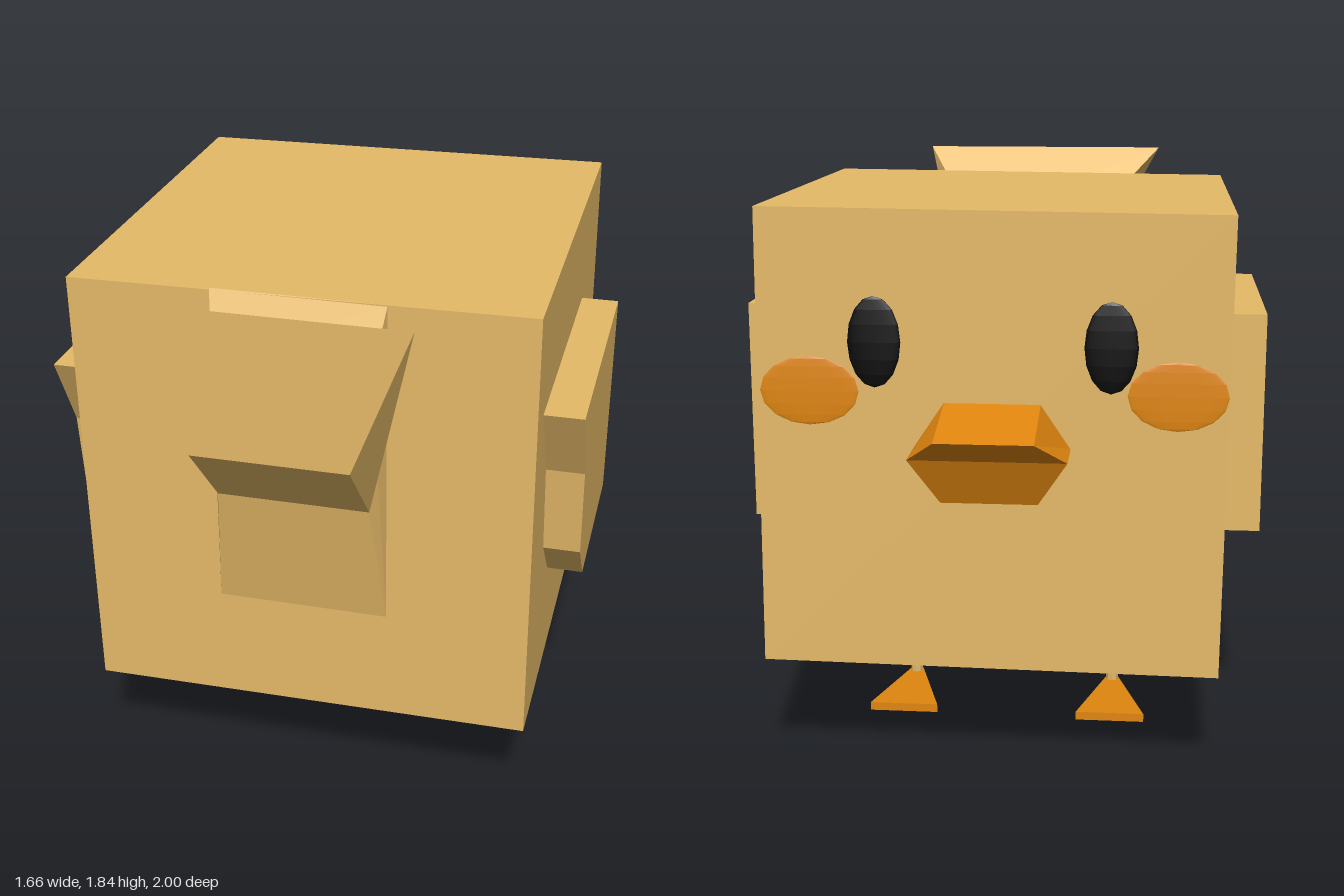
import * as THREE from 'three';

const material = (color) => new THREE.MeshStandardMaterial({ color, flatShading: true });
const yellow = material(0xe6ba68);
const orange = material(0xe0860f);
const black = material(0x0a0a0a);

function part(name, geometry, mat, x = 0, y = 0, z = 0) {
  const mesh = new THREE.Mesh(geometry, mat);
  mesh.name = name;
  mesh.position.set(x, y, z);
  return mesh;
}

// Joins rings of points (counter-clockwise seen from the far end) and caps the last one
function loft(rings) {
  const pos = [];
  const quad = (a, b, c, d) => pos.push(...a, ...b, ...c, ...a, ...c, ...d);
  const n = rings[0].length;
  for (let i = 0; i < rings.length - 1; i++) {
    for (let j = 0; j < n; j++) {
      const k = (j + 1) % n;
      quad(rings[i][j], rings[i][k], rings[i + 1][k], rings[i + 1][j]);
    }
  }
  const end = rings[rings.length - 1];
  for (let k = 0; k < n / 2 - 1; k++) {
    quad(end[(n - k) % n], end[k + 1], end[k + 2], end[n - 1 - k]);
  }
  const geo = new THREE.BufferGeometry();
  geo.setAttribute('position', new THREE.Float32BufferAttribute(pos, 3));
  geo.computeVertexNormals();
  return geo;
}

function extrude(points, depth) {
  const shape = new THREE.Shape(points.map(([x, y]) => new THREE.Vector2(x, y)));
  return new THREE.ExtrudeGeometry(shape, { depth, bevelEnabled: false });
}

export function createModel() {
  const model = new THREE.Group();
  model.name = 'cubeChick';

  // Cube body, leaning very slightly to one side
  const body = part('body', new THREE.BoxGeometry(1.413, 1.415, 1.42), yellow, 0.005, 1.06, -0.025);
  body.rotation.z = 0.01;
  model.add(body);

  // Flared tail: root, waist, tip
  const tailRing = (z, bottom, top, lowHalf, left, right) => [
    [-lowHalf, bottom, z], [lowHalf, bottom, z], [right, top, z], [left, top, z],
  ];
  model.add(part('tail', loft([
    tailRing(0.683, 0.71, 1.77, 0.27, -0.265, 0.265),
    tailRing(0.77, 1.14, 1.59, 0.235, -0.235, 0.24),
    tailRing(1.0, 1.39, 1.84, 0.235, -0.48, 0.41),
  ]), yellow));

  // Six-sided beak
  const beakRing = (zLow, zMid, zTop, top) => [
    [0.145, 0.915, zLow], [-0.145, 0.915, zLow], [-0.235, 1.06, zMid],
    [-0.145, top, zTop], [0.145, top, zTop], [0.235, 1.06, zMid],
  ];
  model.add(part('beak', loft([
    beakRing(-0.73, -0.73, -0.73, 1.195),
    beakRing(-0.84, -0.905, -1.0, 1.135),
  ]), orange));

  // Wing outline in (z, y), foot outline in (x, -z)
  const wing = extrude([
    [-0.34, 0.71], [0.265, 0.71], [0.405, 0.87], [0.44, 1.17], [0.57, 1.42], [-0.34, 1.42],
  ], 0.125).rotateY(-Math.PI / 2);
  const foot = extrude([
    [-0.02, -0.03], [0.02, -0.03], [0.115, 0.3], [-0.115, 0.3],
  ], 0.028).rotateX(-Math.PI / 2);
  const leg = new THREE.CylinderGeometry(0.021, 0.021, 0.36, 8);
  const disc = new THREE.SphereGeometry(1, 32, 8);

  for (const s of [1, -1]) {
    const side = s > 0 ? 'left' : 'right';
    const lift = s * 0.004; // follows the lean of the body

    model.add(part(side + 'Wing', wing, yellow, s > 0 ? 0.83 : -0.705, lift * 1.7 - 0.004, 0));
    model.add(part(side + 'Leg', leg, yellow, s * 0.352, 0.195, 0.008));
    model.add(part(side + 'Foot', foot, orange, s * 0.352, s > 0 ? 0.009 : 0, 0));

    const eye = part(side + 'Eye', disc, black, s * 0.353, 1.372 + lift, -0.736);
    eye.scale.set(0.08, 0.138, 0.012);
    const cheek = part(side + 'Cheek', disc, orange, s * 0.552, 1.225, -0.735);
    cheek.scale.set(0.15, 0.105, 0.006);
    model.add(eye, cheek);
  }
  return model;
}
